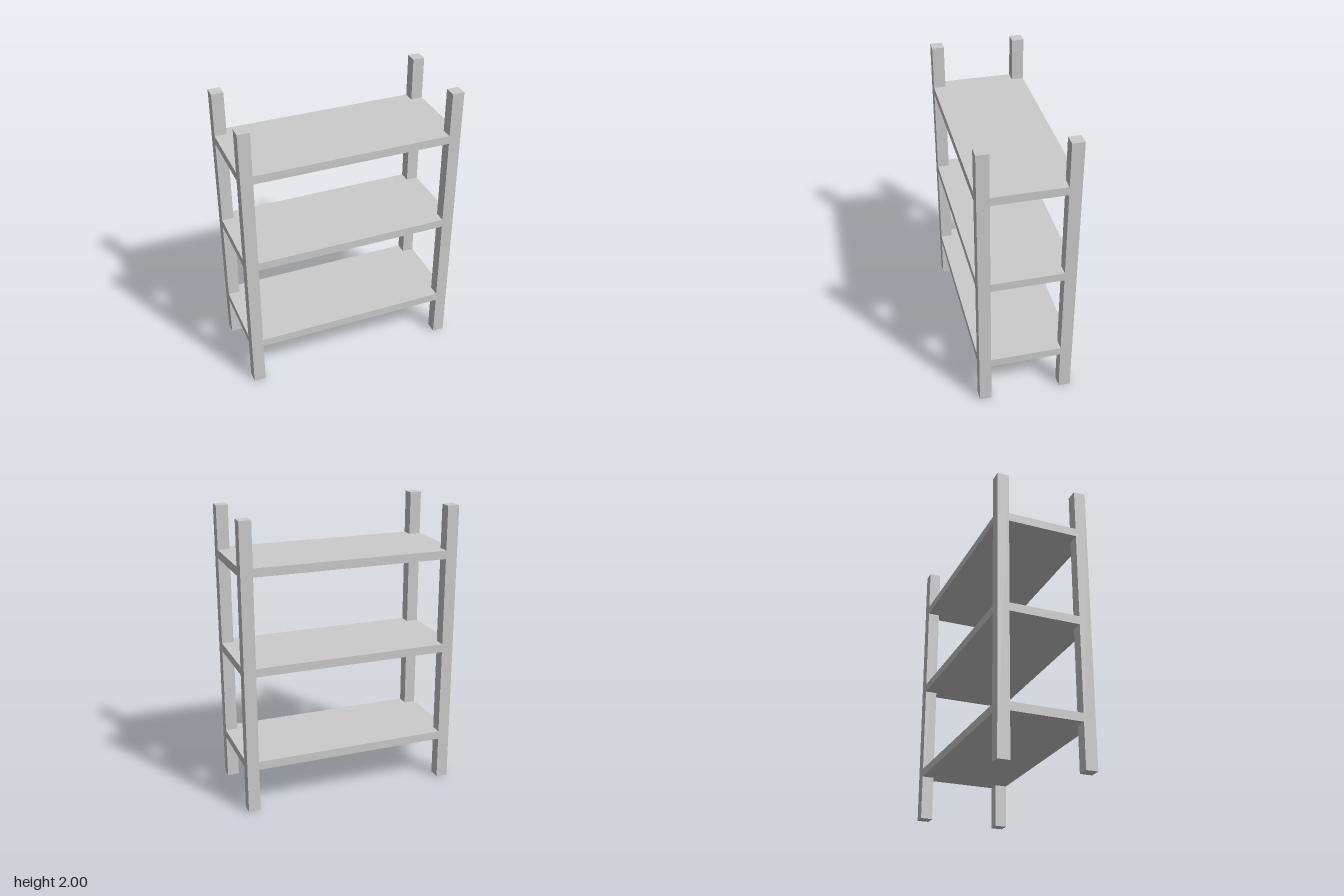
import * as THREE from 'three';

const HALF_X = 0.755, HALF_Z = 0.326, POST = 0.082, HEIGHT = 2;
const SHELF = 0.058;
const SHELF_BOTTOMS = [0.306, 0.973, 1.64];

// Board outline with a notch at each corner for the posts
function boardShape() {
  const ix = HALF_X - POST, iz = HALF_Z - POST;
  const points = [
    [ix, -HALF_Z], [ix, -iz], [HALF_X, -iz],
    [HALF_X, iz], [ix, iz], [ix, HALF_Z],
    [-ix, HALF_Z], [-ix, iz], [-HALF_X, iz],
    [-HALF_X, -iz], [-ix, -iz], [-ix, -HALF_Z],
  ];
  return new THREE.Shape(points.map(([x, z]) => new THREE.Vector2(x, z)));
}

export function createModel() {
  const group = new THREE.Group();
  group.name = 'shelfUnit';
  const material = new THREE.MeshStandardMaterial({ color: 0xcccccc, flatShading: true });

  // Four square corner posts
  const postGeometry = new THREE.BoxGeometry(POST, HEIGHT, POST);
  for (const [sx, left] of [[1, 'Left'], [-1, 'Right']]) {
    for (const [sz, front] of [[1, 'front'], [-1, 'back']]) {
      const post = new THREE.Mesh(postGeometry, material);
      post.name = `${front}${left}Post`;
      post.position.set(sx * (HALF_X - POST / 2), HEIGHT / 2, sz * (HALF_Z - POST / 2));
      group.add(post);
    }
  }

  // Three boards, flush with the outer faces of the posts
  const shelfGeometry = new THREE.ExtrudeGeometry(boardShape(), { depth: SHELF, bevelEnabled: false });
  shelfGeometry.rotateX(-Math.PI / 2);
  SHELF_BOTTOMS.forEach((y, i) => {
    const shelf = new THREE.Mesh(shelfGeometry, material);
    shelf.name = ['lowerShelf', 'middleShelf', 'upperShelf'][i];
    shelf.position.y = y;
    group.add(shelf);
  });

  return group;
}
